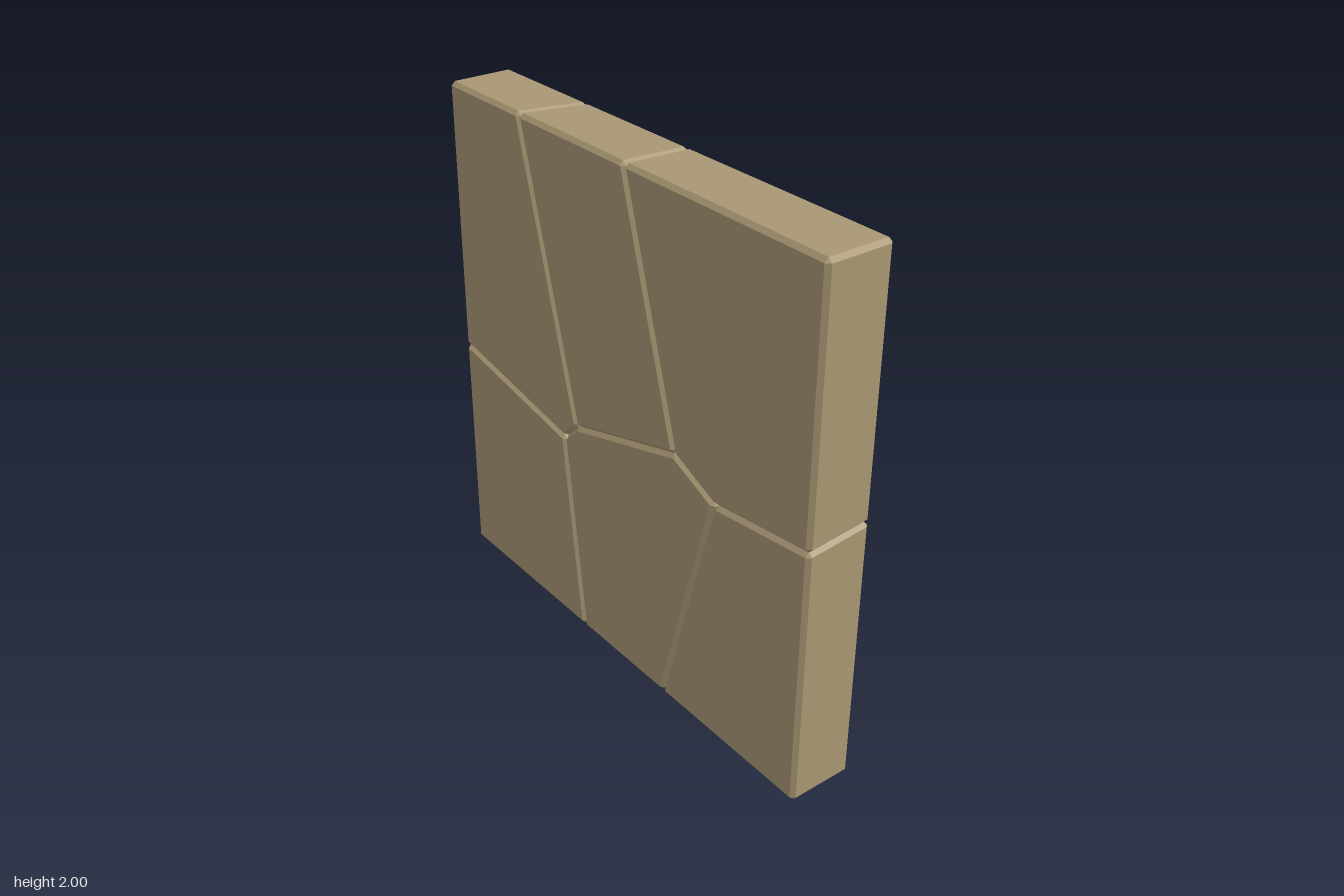
import * as THREE from 'three';
import { ConvexGeometry } from 'three/addons/geometries/ConvexGeometry.js';

const HALF = 0.13;     // half thickness of the wall
const BEVEL = 0.015;   // chamfer on every stone edge

// Crack nodes as [front x, front y, back x, back y]
const N = {
  topLeft: [-1, 2, -1, 2],
  topRight: [1, 2, 1, 2],
  bottomLeft: [-1, 0, -1, 0],
  bottomRight: [1, 0, 1, 0],
  topA: [-0.55, 2, -0.49, 2],
  topB: [0.057, 2, 0.075, 2],
  bottomA: [-0.213, 0, -0.21, 0],
  bottomB: [0.28, 0, 0.295, 0],
  leftSide: [-1, 0.93, -1, 0.935],
  rightSide: [1, 1.02, 1, 1.04],
  j1: [-0.32, 0.815, -0.31, 0.815],
  j2: [-0.237, 0.895, -0.188, 0.925],
  j3: [0.335, 1.055, 0.345, 1.075],
  j4: [0.545, 0.965, 0.57, 0.98],
};

// Each stone is a loop of nodes
const STONES = {
  upperLeftStone: ['topLeft', 'leftSide', 'j1', 'j2', 'topA'],
  upperMiddleStone: ['topA', 'j2', 'j3', 'topB'],
  upperRightStone: ['topB', 'j3', 'j4', 'rightSide', 'topRight'],
  lowerLeftStone: ['leftSide', 'bottomLeft', 'bottomA', 'j1'],
  lowerMiddleStone: ['j1', 'bottomA', 'bottomB', 'j4', 'j3', 'j2'],
  lowerRightStone: ['j4', 'bottomB', 'bottomRight', 'rightSide'],
};

// Chamfered convex block spanning the front and back outlines of a loop
function stoneGeometry(loop) {
  const points = [];
  for (const side of [1, -1]) {
    const o = side > 0 ? 0 : 2;
    const outline = loop.map((k) => new THREE.Vector2(N[k][o], N[k][o + 1]));
    outline.forEach((p, i) => {
      const n = outline.length;
      const u = outline[(i + n - 1) % n].clone().sub(p).normalize();
      const v = outline[(i + 1) % n].clone().sub(p).normalize();
      const inset = BEVEL / Math.abs(u.cross(v));
      const face = p.clone().addScaledVector(u, inset).addScaledVector(v, inset);
      points.push(new THREE.Vector3(face.x, face.y, side * HALF));
      for (const d of [u, v]) {
        const e = p.clone().addScaledVector(d, BEVEL);
        points.push(new THREE.Vector3(e.x, e.y, side * (HALF - BEVEL)));
      }
    });
  }
  return new ConvexGeometry(points);
}

export function createModel() {
  const group = new THREE.Group();
  group.name = 'crackedWall';
  const sandstone = new THREE.MeshStandardMaterial({ color: 0xa99774 });
  sandstone.name = 'sandstone';
  for (const [name, loop] of Object.entries(STONES)) {
    const mesh = new THREE.Mesh(stoneGeometry(loop), sandstone);
    mesh.name = name;
    group.add(mesh);
  }
  return group;
}
